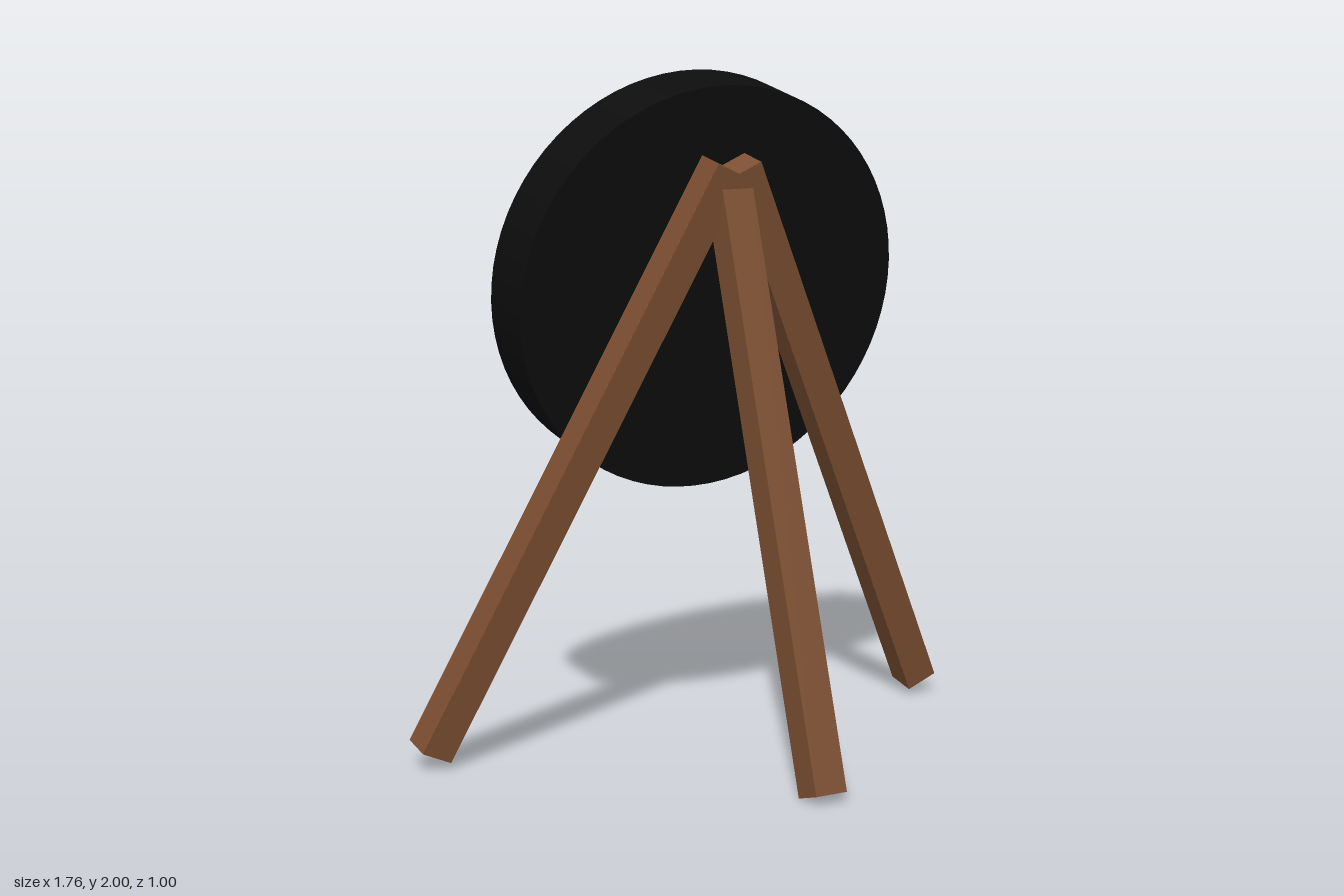
import * as THREE from 'three';

const mat = (name, color) => {
  const m = new THREE.MeshStandardMaterial({ color });
  m.name = name;
  return m;
};

export function createModel() {
  const root = new THREE.Group();
  root.name = 'archeryTarget';

  const wood = mat('brown wood', 0x7c4f32);
  const black = mat('black', 0x0d0d0d);
  const white = mat('pale grey', 0xc8c8c8);
  const blue = mat('teal blue', 0x439dad);
  const red = mat('red', 0xc82020);
  const yellow = mat('yellow', 0xc8be32);

  const add = (parent, name, geometry, material) => {
    const mesh = new THREE.Mesh(geometry, material);
    mesh.name = name;
    parent.add(mesh);
    return mesh;
  };

  // Everything in the board's plane leans by the same angle
  const lean = THREE.MathUtils.degToRad(10.1);
  const R = 0.61, depth = 0.198, seg = 72;

  // Round board: black rim and plain side, rings on the far side
  const board = new THREE.Group();
  board.name = 'board';
  board.position.set(0, 1.385, -0.29);
  board.rotation.x = lean;
  root.add(board);

  const rim = new THREE.CylinderGeometry(R, R, depth, seg, 1, true).rotateX(Math.PI / 2);
  add(board, 'boardRim', rim, black);
  add(board, 'boardBacking', new THREE.CircleGeometry(R, seg), black).position.z = depth / 2;

  const rings = [
    ['outerRing', 0.49, R, white],
    ['blackRing', 0.365, 0.49, black],
    ['blueRing', 0.24, 0.365, blue],
    ['redRing', 0.12, 0.24, red],
  ];
  const face = new THREE.Group();
  face.name = 'targetFace';
  face.position.z = -depth / 2;
  face.rotation.y = Math.PI;
  board.add(face);
  for (const [name, inner, outer, material] of rings) {
    add(face, name, new THREE.RingGeometry(inner, outer, seg), material);
  }
  add(face, 'bullseye', new THREE.CircleGeometry(0.12, seg), yellow);

  // Pair of splayed legs lying against the board
  const T = 0.1;
  for (const [side, name] of [[1, 'leftLeg'], [-1, 'rightLeg']]) {
    const pivot = new THREE.Group();
    pivot.name = name;
    pivot.position.set(side * 0.43, 0.895, -0.221);
    pivot.rotation.x = lean;
    root.add(pivot);
    const leg = add(pivot, name + 'Beam', new THREE.BoxGeometry(T, 1.9, T), wood);
    leg.rotation.z = side * THREE.MathUtils.degToRad(25.3);
  }

  // Single prop leg
  const L = 1.77, tilt = THREE.MathUtils.degToRad(17.9);
  const prop = add(root, 'propLeg', new THREE.BoxGeometry(T, L, T), wood);
  prop.rotation.x = -tilt;
  prop.position.set(0, 0.017 + (L / 2) * Math.cos(tilt), 0.453 - (L / 2) * Math.sin(tilt));

  return root;
}
